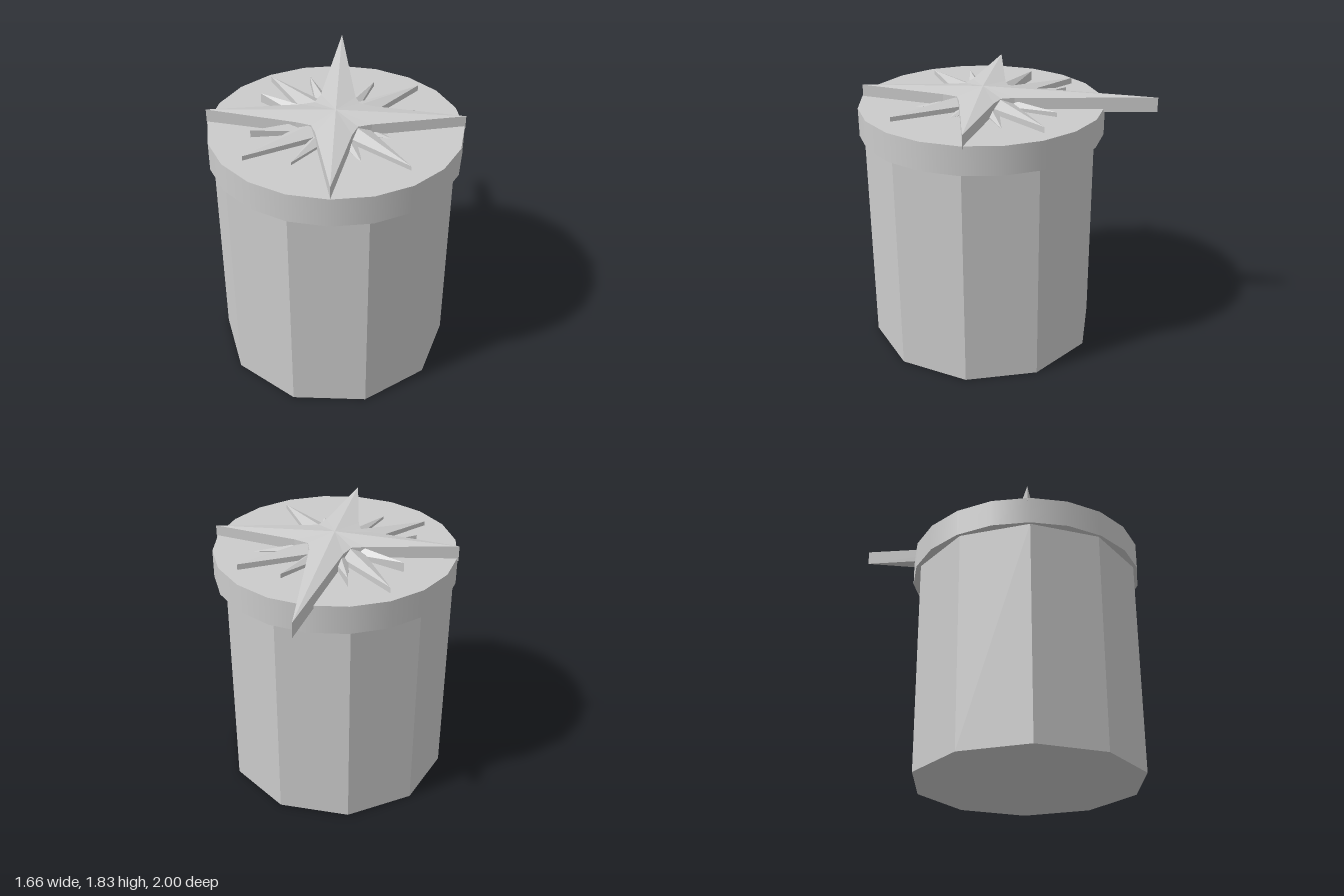
import * as THREE from 'three';

const material = new THREE.MeshStandardMaterial({ color: 0xcccccc });
const flatMaterial = new THREE.MeshStandardMaterial({ color: 0xcccccc, flatShading: true });
const CX = 0, CZ = 0.16;

function addMesh(group, name, geometry, mat) {
  const mesh = new THREE.Mesh(geometry, mat);
  mesh.name = name;
  group.add(mesh);
  return mesh;
}

// Solid star: outline [x, y, z] counterclockwise from above, raised to an apex, with walls and a flat base
function starGeometry(outline, apexY, baseY) {
  const pos = [];
  const apex = [CX, apexY, CZ], foot = [CX, baseY, CZ];
  outline.forEach((a, i) => {
    const b = outline[(i + 1) % outline.length];
    const a0 = [a[0], baseY, a[2]], b0 = [b[0], baseY, b[2]];
    pos.push(...apex, ...a, ...b);
    pos.push(...a0, ...b0, ...b, ...a0, ...b, ...a);
    pos.push(...foot, ...b0, ...a0);
  });
  const g = new THREE.BufferGeometry();
  g.setAttribute('position', new THREE.Float32BufferAttribute(pos, 3));
  g.computeVertexNormals();
  return g;
}

// Outline of a star with one valley midway after each tip
function simpleOutline(tips, valleyRadius, firstValley, tipY, valleyY) {
  const step = (Math.PI * 2) / tips.length;
  return tips.flatMap(([x, z], i) => {
    const a = firstValley + i * step;
    return [
      [x, tipY(x, z), z],
      [CX + valleyRadius * Math.sin(a), valleyY, CZ + valleyRadius * Math.cos(a)],
    ];
  });
}

export function createModel() {
  const model = new THREE.Group();

  // Ten-sided drum
  addMesh(model, 'body', new THREE.CylinderGeometry(0.795, 0.795, 1.53, 10, 1, false, Math.PI / 2), flatMaterial)
    .position.set(-0.015, 0.765, 0.172);

  // Overhanging twenty-sided lid with a smooth rim
  addMesh(model, 'lid', new THREE.CylinderGeometry(0.826, 0.826, 0.193, 20), material)
    .position.set(-0.002, 1.6235, 0.17);

  // Large four-pointed star, its back point reaching beyond the lid
  const longTips = [[0, 0.99], [0.83, 0.15], [0, -1.0], [-0.835, 0.155]];
  const corners = [[0.11, 0.25], [0.145, 0.15], [0.23, 0.12]];
  const longOutline = longTips.flatMap(([x, z], k) => {
    const c = Math.round(Math.cos(k * Math.PI / 2)), s = Math.round(Math.sin(k * Math.PI / 2));
    return [
      [x, 1.8 - 0.009 * x, z],
      ...corners.map(([u, v]) => [CX + u * c + v * s, 1.795, CZ + v * c - u * s]),
    ];
  });
  addMesh(model, 'largeStar', starGeometry(longOutline, 1.828, 1.7), flatMaterial);

  // Diagonal four-pointed star
  const diagonalTips = [[0.47, 0.68], [0.54, -0.31], [-0.47, -0.4], [-0.55, 0.61]];
  addMesh(model, 'diagonalStar', starGeometry(
    simpleOutline(diagonalTips, 0.15, Math.PI / 2, (x, z) => 1.755 - 0.01 * (z - CZ), 1.755),
    1.805, 1.69), flatMaterial);

  // Small eight-pointed star, tilted so its front left points sink into the lid
  const smallTips = [[0.18, 0.62], [0.38, 0.33], [0.51, -0.04], [0.24, -0.36],
    [-0.2, -0.38], [-0.51, -0.11], [-0.53, 0.34], [-0.25, 0.65]];
  addMesh(model, 'smallStar', starGeometry(
    simpleOutline(smallTips, 0.17, Math.PI / 4, (x, z) => 1.745 - 0.06 * x - 0.04 * (z - CZ), 1.735),
    1.785, 1.69), flatMaterial);

  return model;
}
